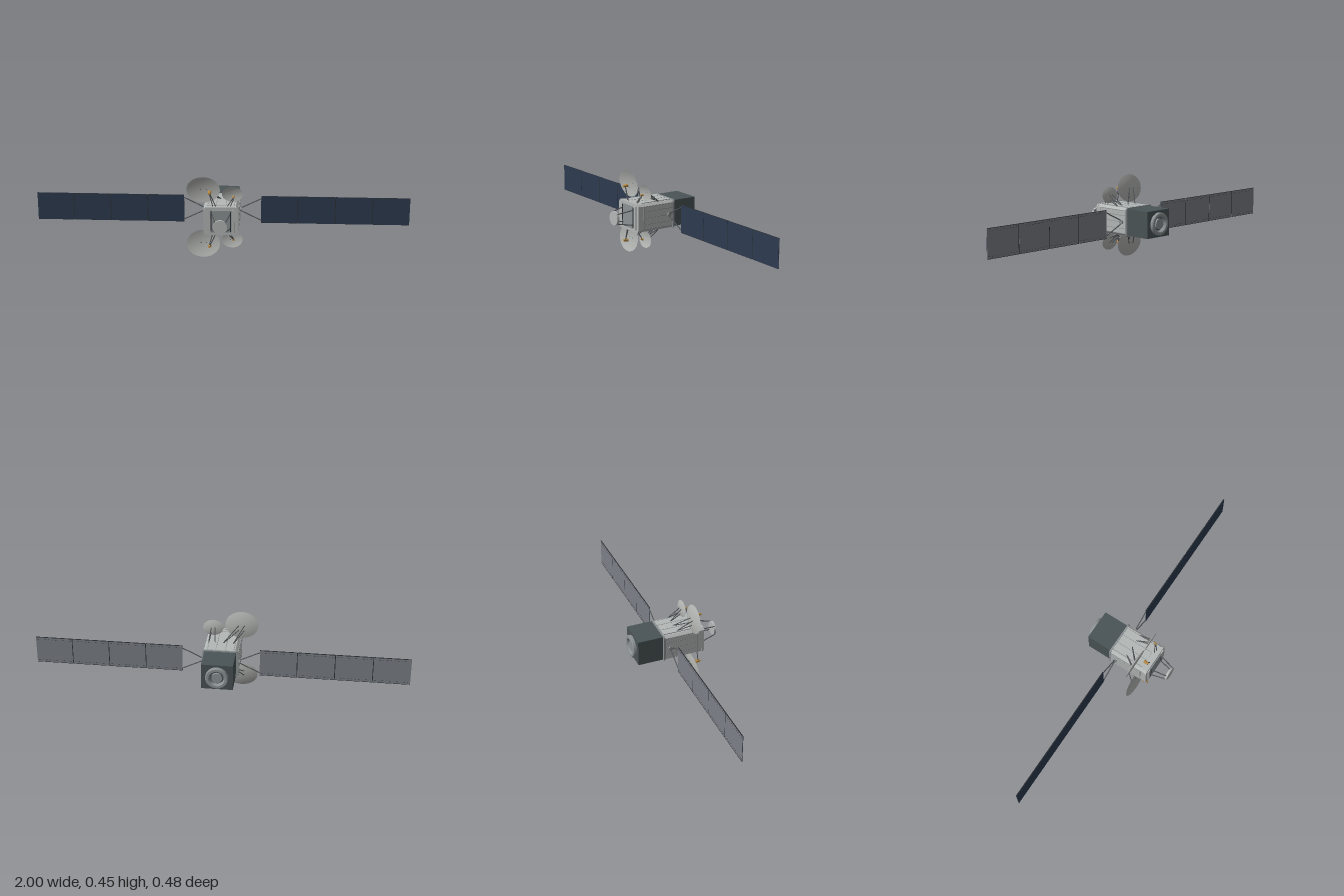
import * as THREE from 'three';

const mat = (name, color, side = THREE.FrontSide) => {
  const m = new THREE.MeshStandardMaterial({ color, side });
  m.name = name;
  return m;
};

export function createModel() {
  const root = new THREE.Group();
  root.name = 'satellite';
  const hull = mat('hull grey', 0xb4b8b6);
  const trim = mat('trim grey', 0x8c9294);
  const dark = mat('service module', 0x4a5356);
  const strutMat = mat('strut grey', 0x55595c);
  const line = mat('seam grey', 0x2c3034);
  const cells = mat('solar cells', 0x2d3b50);
  const backing = mat('panel backing', 0x7b7f86);
  const gold = mat('feed gold', 0xb98b42);
  const dishMat = mat('dish grey', 0xb2b4b1, THREE.DoubleSide);
  const CY = 0.225;

  const add = (name, geo, m, x = 0, y = 0, z = 0, parent = root) => {
    const mesh = new THREE.Mesh(geo, m);
    mesh.name = name;
    mesh.position.set(x, y, z);
    parent.add(mesh);
    return mesh;
  };
  const box = (name, m, w, h, d, x, y, z, parent) =>
    add(name, new THREE.BoxGeometry(w, h, d), m, x, y, z, parent);
  // Rod between two points
  const rod = (name, a, b, r = 0.003, m = strutMat, parent = root) => {
    const p = new THREE.Vector3(...a), q = new THREE.Vector3(...b);
    const dir = q.clone().sub(p);
    const mesh = add(name, new THREE.CylinderGeometry(r, r, dir.length(), 8), m, 0, 0, 0, parent);
    mesh.position.copy(p).add(q).multiplyScalar(0.5);
    mesh.quaternion.setFromUnitVectors(new THREE.Vector3(0, 1, 0), dir.normalize());
    return mesh;
  };
  // Chamfered block running along z
  const block = (name, m, w, h, c, z0, z1) => {
    const a = w / 2, b = h / 2;
    const s = new THREE.Shape([[-a + c, -b], [a - c, -b], [a, -b + c], [a, b - c],
      [a - c, b], [-a + c, b], [-a, b - c], [-a, -b + c]].map(p => new THREE.Vector2(...p)));
    return add(name, new THREE.ExtrudeGeometry(s, { depth: z1 - z0, bevelEnabled: false }), m, 0, CY, z0);
  };

  // Main body
  block('body', hull, 0.18, 0.15, 0.012, -0.08, 0.138);
  block('frontCollar', hull, 0.184, 0.154, 0.012, 0.136, 0.147);
  block('rearFlange', trim, 0.188, 0.155, 0.008, -0.083, -0.074);
  box('frontPlate', trim, 0.11, 0.12, 0.006, 0, CY, 0.149);
  for (const s of [-1, 1]) {
    // Side and top cover panels with seams
    box('sidePanel', hull, 0.006, 0.122, 0.184, s * 0.09, CY, 0.019);
    box('deckPanel', hull, 0.14, 0.004, 0.184, 0, CY + s * 0.075, 0.019);
    for (const y of [-0.061, -0.035, 0, 0.035, 0.061])
      box('sideSeam', trim, 0.003, 0.0025, 0.184, s * 0.0925, CY + y, 0.019);
    for (const z of [-0.073, 0.111])
      box('sideSeam', trim, 0.003, 0.122, 0.0025, s * 0.0925, CY, z);
    for (const x of [-0.07, -0.025, 0.025, 0.07])
      box('deckSeam', trim, 0.0025, 0.003, 0.184, x, CY + s * 0.0765, 0.019);
    box('frontPillar', hull, 0.016, 0.126, 0.01, s * 0.065, CY, 0.148);
    box('frontSlot', line, 0.005, 0.11, 0.003, s * 0.05, CY, 0.152);
  }

  // Rear service module and engine ring
  box('serviceModule', dark, 0.166, 0.142, 0.144, 0, CY, -0.15);
  const ringProfile = [[0.036, 0], [0.06, 0], [0.06, 0.014], [0.056, 0.018], [0.043, 0.018], [0.036, 0.006], [0.036, 0]];
  const ring = new THREE.LatheGeometry(ringProfile.map(p => new THREE.Vector2(...p)), 32);
  ring.rotateX(-Math.PI / 2);
  const ringMesh = add('engineRing', ring.toNonIndexed(), trim, 0, CY, -0.222);
  ringMesh.geometry.computeVertexNormals();
  const nozzle = new THREE.CylinderGeometry(0.028, 0.028, 0.012, 24).rotateX(Math.PI / 2);
  add('engineCore', nozzle, trim, 0, CY, -0.227);

  // Front antenna disc on four legs
  add('frontDisc', new THREE.CylinderGeometry(0.038, 0.038, 0.012, 32).rotateX(Math.PI / 2), hull, 0, CY, 0.236);
  for (const sx of [-1, 1]) for (const sy of [-1, 1])
    rod('frontLeg', [sx * 0.048, CY + sy * 0.041, 0.148], [sx * 0.028, CY + sy * 0.026, 0.235], 0.003);

  // Dish reflectors with feeds, mirrored above and below the body
  const dishes = [
    { name: 'large', x: -0.096, y: 0.15, z: 0.084, rx: 0.088, ry: 0.074, depth: 0.012, feed: [-0.06, 0.149, 0.128],
      foot: [-0.035, 0.128], fr: 0.009, len: 0.026, base: -0.03, spread: 0.03 },
    { name: 'small', x: 0.057, y: 0.127, z: 0.08, rx: 0.055, ry: 0.043, depth: 0.008, feed: [0.064, 0.12, 0.106],
      foot: [0.04, 0.122], fr: 0.006, len: 0.015, base: 0.055, spread: 0.02 },
  ];
  for (const d of dishes) for (const s of [-1, 1]) {
    const g = new THREE.Group();
    g.name = d.name + 'Dish' + (s > 0 ? 'Upper' : 'Lower');
    root.add(g);
    const pts = [];
    for (let i = 0; i <= 8; i++) pts.push(new THREE.Vector2(Math.max(i / 8, 0.0001), (i / 8) ** 2 * d.depth - d.depth));
    const bowl = new THREE.LatheGeometry(pts, 36).rotateX(Math.PI / 2).scale(d.rx, d.ry, 1);
    bowl.computeVertexNormals();
    add('reflector', bowl, dishMat, d.x, CY + s * d.y, d.z, g).rotation.x = s * 0.124;
    // Struts behind the reflector
    for (const k of [-1, 1]) {
      const foot = [d.base + k * d.spread * 0.9, CY + s * 0.074, 0.004];
      for (const h of [-0.025, 0.002])
        rod('dishStrut', foot, [d.x + k * d.spread * 0.5, CY + s * (d.y + h), d.z - d.depth + h * 0.12], 0.0025, strutMat, g);
    }
    // Feed horn opening toward the reflector
    const [fx, fy, fz] = d.feed;
    const horn = new THREE.CylinderGeometry(d.fr * 0.65, d.fr, d.len, 16).rotateX(Math.PI / 2);
    add('feedHorn', horn, gold, fx, CY + s * fy, fz, g).rotation.x = s * 0.1;
    for (const k of [-1, 1])
      rod('feedStrut', [d.foot[0] + k * 0.008, CY + s * 0.073, d.foot[1] + k * 0.002],
        [fx + k * 0.002, CY + s * (fy - 0.004), fz + k * 0.001], 0.0025, strutMat, g);
  }

  // Solar wings: hub, yoke and four panels per side
  const PZ = -0.046, W = 0.199;
  for (const s of [-1, 1]) {
    const wing = new THREE.Group();
    wing.name = s > 0 ? 'leftWing' : 'rightWing';
    root.add(wing);
    add('hub', new THREE.CylinderGeometry(0.011, 0.011, 0.014, 20).rotateZ(Math.PI / 2), trim, s * 0.096, CY, PZ, wing);
    for (const k of [-1, 1])
      rod('yoke', [s * 0.098, CY + k * 0.008, PZ], [s * 0.208, CY + k * 0.062, PZ], 0.003, strutMat, wing);
    for (let i = 0; i < 4; i++) {
      const x = s * (0.205 + W * (i + 0.5) - 0.0005);
      box('panelBack', backing, W - 0.004, 0.15, 0.002, x, CY, PZ - 0.001, wing);
      box('panelCells', cells, W - 0.004, 0.15, 0.002, x, CY, PZ + 0.001, wing);
      for (const k of [-1, 1]) {
        box('panelEdge', line, W - 0.004, 0.002, 0.005, x, CY + k * 0.0745, PZ - 0.0005, wing);
        for (let j = 0; j < 10; j++)
          box('backDash', line, 0.008, 0.0015, 0.001, x + (j - 4.5) * 0.019, CY + k * 0.062, PZ - 0.0022, wing);
      }
      if (i < 3) box('panelHinge', line, 0.004, 0.148, 0.003, s * (0.2045 + W * (i + 1)), CY, PZ, wing);
    }
  }
  return root;
}
